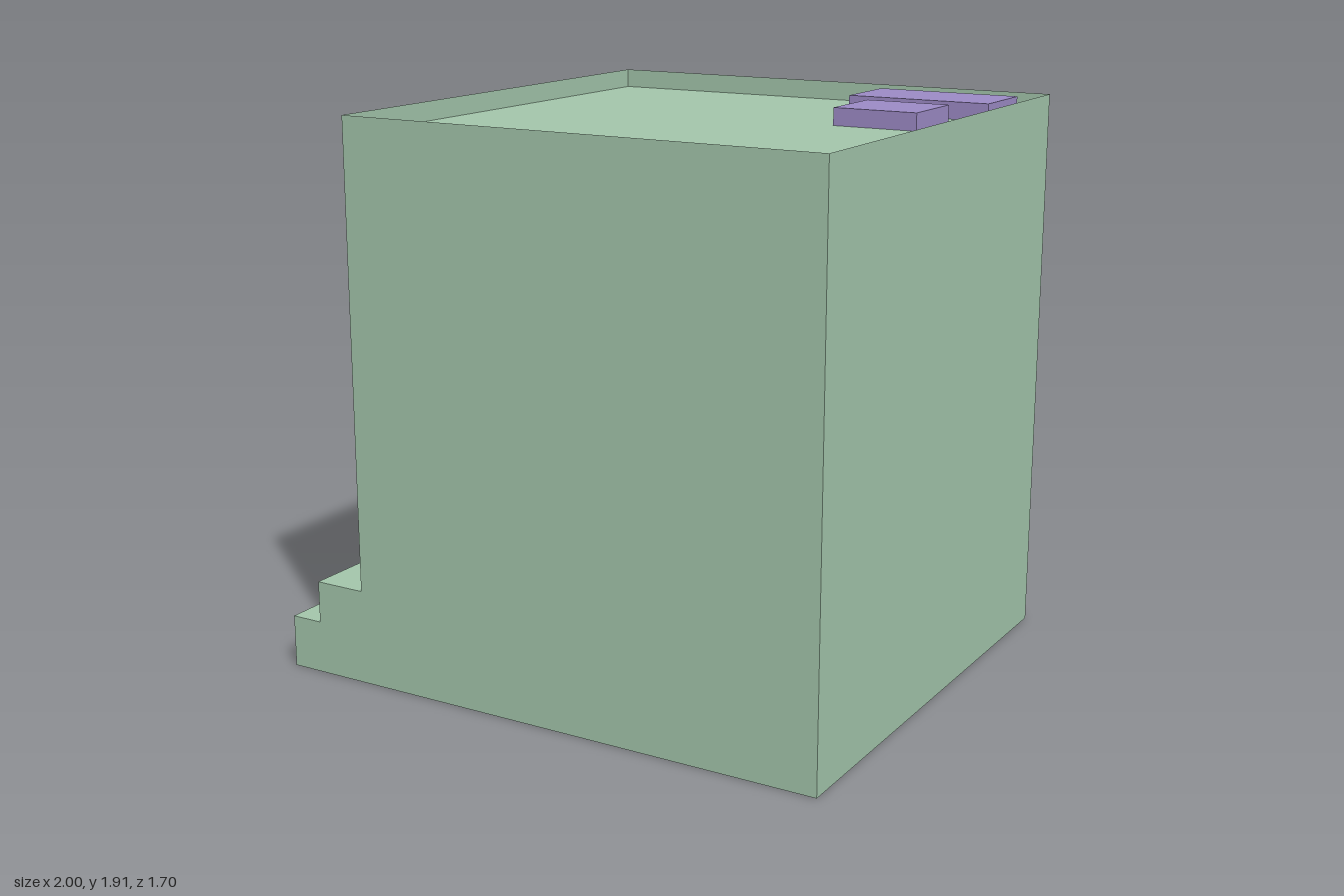
import * as THREE from 'three';

const mat = (color, side = THREE.FrontSide) =>
  new THREE.MeshStandardMaterial({ color, side, flatShading: true });
const GREEN = 0xa5c8ad, PURPLE = 0x9e8cc8, DOOR = 0xb0c8c8, FRAME = 0x2c5a48, PANE = 0xb8b0b2;

function part(name, geometry, color, x = 0, y = 0, z = 0, side) {
  const mesh = new THREE.Mesh(geometry, mat(color, side));
  mesh.name = name;
  mesh.position.set(x, y, z);
  return mesh;
}

// Solid slab along local z with a paper-thin rim standing on its front edge
function tray(name, w, h, base, rim, color) {
  const group = new THREE.Group();
  group.name = name;
  group.add(part(name + 'Body', new THREE.BoxGeometry(w, h, base), color, 0, 0, base / 2));
  const sides = new THREE.BoxGeometry(w, h, rim);
  sides.setIndex(Array.from(sides.index.array).slice(0, 24)); // keep only the four sides
  sides.clearGroups();
  group.add(part(name + 'Rim', sides, color, 0, 0, base + rim / 2, THREE.DoubleSide));
  return group;
}

function createWindow() {
  const group = new THREE.Group();
  group.name = 'window';
  const w = 0.71, h = 0.67, border = 0.05, bar = 0.09, depth = 0.07;
  const ow = (w - 2 * border - bar) / 2, oh = (h - 2 * border - bar) / 2;
  const rect = (path, cx, cy, a, b) => {
    path.moveTo(cx - a / 2, cy - b / 2);
    path.lineTo(cx + a / 2, cy - b / 2);
    path.lineTo(cx + a / 2, cy + b / 2);
    path.lineTo(cx - a / 2, cy + b / 2);
    path.closePath();
    return path;
  };
  const shape = rect(new THREE.Shape(), 0, 0, w, h);
  for (const sx of [-1, 1]) for (const sy of [-1, 1]) {
    const cx = sx * (bar + ow) / 2, cy = sy * (bar + oh) / 2;
    shape.holes.push(rect(new THREE.Path(), cx, cy, ow, oh));
    group.add(part('windowPane', new THREE.BoxGeometry(ow, oh, 0.03), PANE, cx, cy, 0.015));
  }
  group.add(part('windowFrame', new THREE.ExtrudeGeometry(shape, { depth, bevelEnabled: false }), FRAME));
  // hung slightly askew on the wall
  group.rotation.set(0.015, -0.015, 0);
  return group;
}

export function createModel() {
  const model = new THREE.Group();
  model.name = 'house';

  // House block with sunken roof and parapet
  const house = tray('building', 1.7, 1.7, 1.845, 0.065, GREEN);
  house.rotation.x = -Math.PI / 2;
  house.position.x = 0.15;
  model.add(house);

  // Two steps beside the door
  const profile = new THREE.Shape([
    [-1, 0], [-0.7, 0], [-0.7, 0.325], [-0.885, 0.325], [-0.885, 0.18], [-1, 0.18],
  ].map(([x, y]) => new THREE.Vector2(x, y)));
  model.add(part('steps', new THREE.ExtrudeGeometry(profile, { depth: 0.85, bevelEnabled: false }), GREEN));

  // Roof boxes
  model.add(part('roofBoxLarge', new THREE.BoxGeometry(0.51, 0.06, 0.26), PURPLE, 0.655, 1.874, -0.65));
  model.add(part('roofBoxSmall', new THREE.BoxGeometry(0.295, 0.06, 0.26), PURPLE, 0.66, 1.874, -0.298));

  // Wall fittings: local +z points out of the wall, local x runs along world z
  const wall = new THREE.Group();
  wall.name = 'wallFittings';
  wall.rotation.y = -Math.PI / 2;
  wall.position.x = -0.7;
  model.add(wall);

  const door = tray('door', 0.525, 0.985, 0.018, 0.074, DOOR);
  door.position.set(0.43, 0.853, 0);
  wall.add(door);

  const win = createWindow();
  win.position.set(-0.41, 1.333, -0.011);
  wall.add(win);

  // Door knob turned on a lathe
  const knob = new THREE.LatheGeometry([
    [0.04, 0], [0.04, 0.018], [0.028, 0.028], [0.028, 0.045], [0.06, 0.06],
    [0.066, 0.08], [0.055, 0.105], [0.035, 0.118], [0, 0.119],
  ].map(([x, y]) => new THREE.Vector2(x, y)), 10);
  knob.rotateX(Math.PI / 2);
  wall.add(part('doorKnob', knob, DOOR, 0.605, 0.805, 0, THREE.DoubleSide));

  return model;
}
